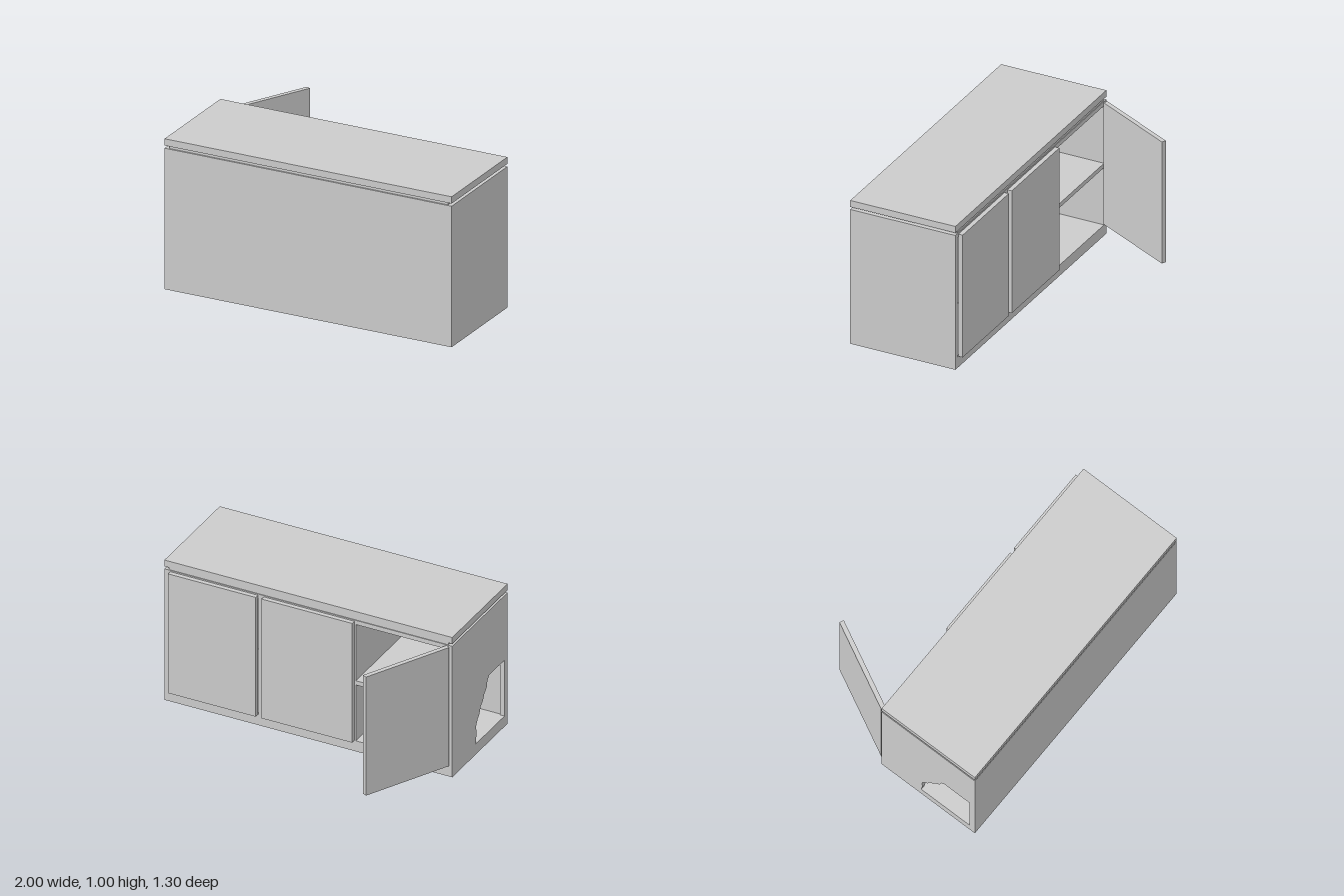
import * as THREE from 'three';

const material = new THREE.MeshStandardMaterial({ color: 0xcccccc, flatShading: true });

export function createModel() {
  const model = new THREE.Group();
  model.name = 'cabinet';

  const add = (name, geometry) => {
    const mesh = new THREE.Mesh(geometry, material);
    mesh.name = name;
    model.add(mesh);
    return mesh;
  };
  // Box given by its limits on each axis
  const box = (name, [x0, x1], [y0, y1], [z0, z1]) => {
    const mesh = add(name, new THREE.BoxGeometry(x1 - x0, y1 - y0, z1 - z0));
    mesh.position.set((x0 + x1) / 2, (y0 + y1) / 2, (z0 + z1) / 2);
    return mesh;
  };

  const T = 0.03; // board thickness
  const back = -0.08, front = 0.65, bodyTop = 0.937, floorTop = 0.075;
  const innerZ = [back, front - T];
  const innerX = [-1 + T, 1 - T];
  const innerY = [floorTop, bodyTop - T];

  // Countertop on a recessed spacer
  box('countertop', [-1, 1], [0.955, 1], [back, front]);
  box('spacer', [-0.97, 0.97], [bodyTop, 0.955], [back + 0.005, front - 0.01]);

  // Carcass
  box('frontPanel', [-1, 1], [0, bodyTop], [front - T, front]);
  box('leftPanel', [1 - T, 1], [0, bodyTop], innerZ);
  box('floorPanel', innerX, [0, floorTop], innerZ);
  box('topPanel', innerX, [bodyTop - T, bodyTop], innerZ);

  // Right panel with a ragged entrance hole, drawn in (-z, y)
  const side = new THREE.Shape([
    [-innerZ[1], 0], [-back, 0], [-back, bodyTop], [-innerZ[1], bodyTop],
  ].map(p => new THREE.Vector2(...p)));
  side.holes.push(new THREE.Path([
    [0.61, 0.075], [0.61, 0.475], [0.41, 0.475], [0.385, 0.45], [0.375, 0.405],
    [0.34, 0.37], [0.325, 0.335], [0.295, 0.31], [0.28, 0.265], [0.255, 0.24],
    [0.235, 0.2], [0.24, 0.14], [0.23, 0.075],
  ].map(([z, y]) => new THREE.Vector2(-z, y))));
  const sideGeometry = new THREE.ExtrudeGeometry(side, { depth: T, bevelEnabled: false });
  sideGeometry.rotateY(Math.PI / 2);
  add('rightPanel', sideGeometry).position.x = -1;

  // Dividers between the three bays, and the shelf in the open one
  for (const x of [-0.315, 0.33]) {
    box('divider', [x - T / 2, x + T / 2], innerY, innerZ);
  }
  box('shelf', [-1 + T, -0.33], [0.475, 0.505], innerZ);

  // Two closed doors on the back face
  for (const span of [[-0.32, 0.31], [0.35, 0.96]]) {
    box('closedDoor', span, [0.075, 0.928], [back - T, back]);
  }

  // Door swung open at the right end
  const door = add('openDoor', new THREE.BoxGeometry(0.625, 0.848, T));
  door.position.set(-0.83, 0.509, -0.365);
  door.rotation.y = 1.094;

  return model;
}
